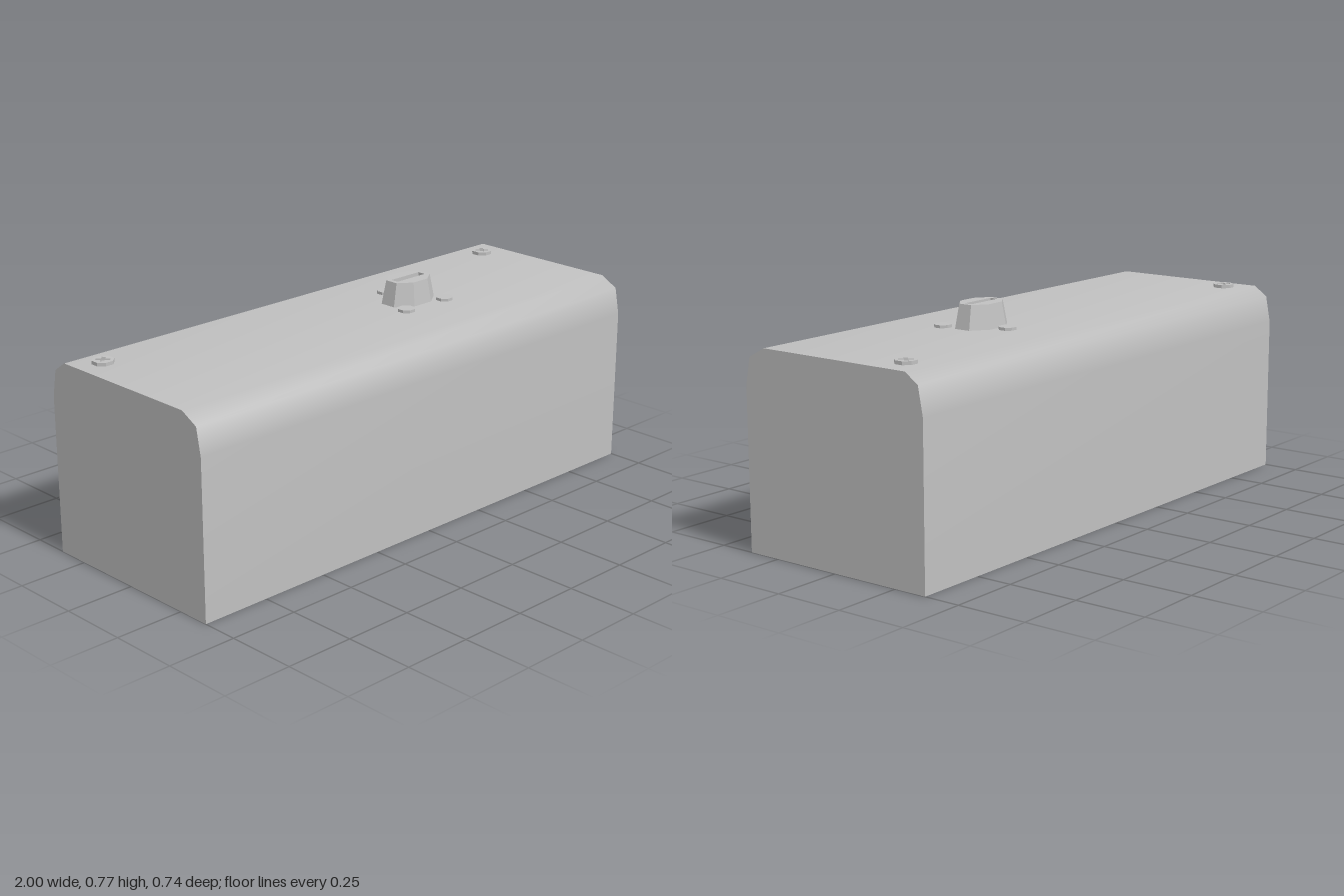
import * as THREE from 'three';

const TOP = 0.685;

// Regular octagon with flat sides on the axes, stretched to the given half sizes
function octagon(halfX, halfZ) {
  const k = 1 / Math.cos(Math.PI / 8);
  return new THREE.Shape(Array.from({ length: 8 }, (_, i) => {
    const a = (i + 0.5) * Math.PI / 4;
    return new THREE.Vector2(halfX * k * Math.cos(a), halfZ * k * Math.sin(a));
  }));
}

function faceted(geometry) {
  const flat = geometry.toNonIndexed();
  flat.computeVertexNormals();
  return flat;
}

export function createModel() {
  const model = new THREE.Group();
  const metal = new THREE.MeshStandardMaterial({ color: 0xc0c0c0, side: THREE.DoubleSide });
  metal.name = 'grey metal';

  function add(parent, name, geometry, x = 0, y = 0, z = 0) {
    const mesh = new THREE.Mesh(geometry, metal);
    mesh.name = name;
    mesh.position.set(x, y, z);
    parent.add(mesh);
    return mesh;
  }

  // Cover profile as [z, y], front bottom over the top to back bottom
  const profile = [
    [0.37, 0], [0.37, 0.555], [0.352, 0.65], [0.287, TOP],
    [-0.302, TOP], [-0.352, 0.65], [-0.37, 0.555], [-0.37, 0],
  ];

  // Smooth wrapped sheet, open underneath
  const positions = [], index = [];
  profile.forEach(([z, y], i) => {
    positions.push(-1, y, z, 1, y, z);
    if (i < profile.length - 1) {
      const a = i * 2;
      index.push(a, a + 1, a + 3, a, a + 3, a + 2);
    }
  });
  const sheet = new THREE.BufferGeometry();
  sheet.setAttribute('position', new THREE.Float32BufferAttribute(positions, 3));
  sheet.setIndex(index);
  sheet.computeVertexNormals();
  add(model, 'coverShell', sheet);

  // Flat end plates
  for (const side of [-1, 1]) {
    const outline = new THREE.Shape(profile.map(([z, y]) => new THREE.Vector2(-side * z, y)));
    const plate = new THREE.ShapeGeometry(outline).rotateY(side * Math.PI / 2);
    add(model, side > 0 ? 'leftEndPlate' : 'rightEndPlate', plate, side);
  }

  // Tapered octagonal knob with a slot in its top
  const knob = new THREE.Group();
  knob.name = 'knob';
  knob.position.set(0.275, TOP, -0.006);
  model.add(knob);
  const height = 0.083, k = 1 / Math.cos(Math.PI / 8);
  const sides = new THREE.CylinderGeometry(0.83 * k, k, height, 8, 1, true, Math.PI / 8);
  add(knob, 'knobSides', faceted(sides.scale(0.101, 1, 0.073)), 0, height / 2);

  const slotX = 0.068, slotZ = 0.015, slotDepth = 0.02;
  const face = octagon(0.0838, 0.0606);
  face.holes.push(new THREE.Path([
    new THREE.Vector2(-slotX, -slotZ), new THREE.Vector2(-slotX, slotZ),
    new THREE.Vector2(slotX, slotZ), new THREE.Vector2(slotX, -slotZ),
  ]));
  add(knob, 'knobTop', new THREE.ShapeGeometry(face).rotateX(-Math.PI / 2), 0, height);
  // Slot is a box without its top face
  const slot = new THREE.BoxGeometry(slotX * 2, slotDepth, slotZ * 2);
  const kept = Array.from(slot.index.array).filter((_, i) => i < 12 || i >= 18);
  slot.setIndex(kept);
  slot.clearGroups();
  add(knob, 'knobSlot', slot, 0, height - slotDepth / 2);

  // Octagonal rivets around the knob
  for (const [x, z] of [[0.275, -0.118], [0.178, 0.081], [0.37, 0.081]]) {
    const disc = new THREE.ExtrudeGeometry(octagon(0.029, 0.029), { depth: 0.01, bevelEnabled: false });
    add(model, 'knobRivet', disc.rotateX(-Math.PI / 2), x, TOP, z);
  }

  // Cross-head screws at the back corners
  const arm = 0.024, w = 0.007;
  const cross = [];
  for (let q = 0; q < 4; q++) {
    for (const [x, y] of [[w, w], [w, arm], [-w, arm]]) {
      cross.push(new THREE.Vector2(x, y).rotateAround(new THREE.Vector2(), (q + 0.5) * Math.PI / 2));
    }
  }
  for (const x of [-0.907, 0.901]) {
    const head = octagon(0.035, 0.035);
    head.holes.push(new THREE.Path(cross));
    const geometry = new THREE.ExtrudeGeometry(head, { depth: 0.012, bevelEnabled: false });
    add(model, 'cornerScrew', geometry.rotateX(-Math.PI / 2), x, TOP, -0.22);
  }

  return model;
}
